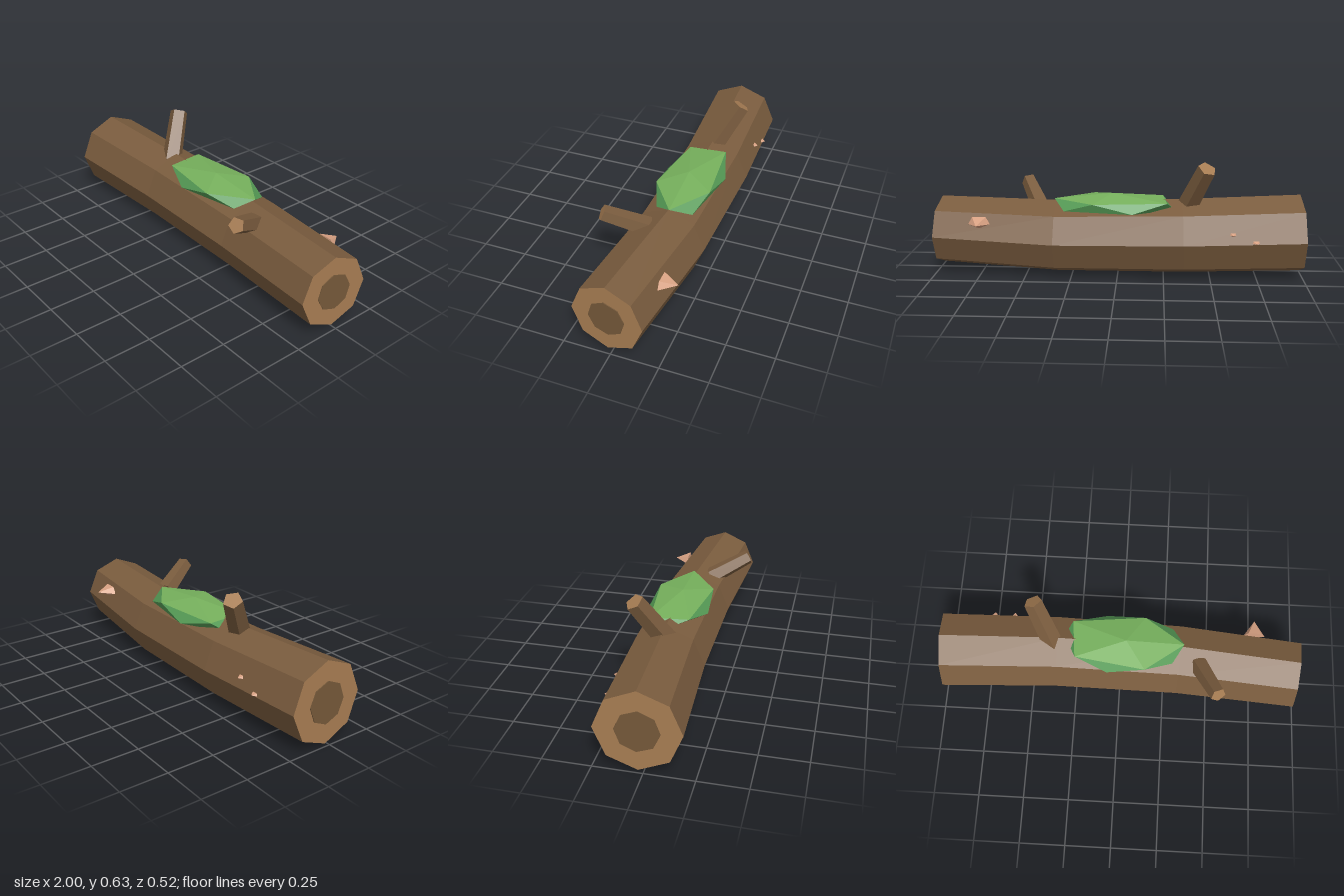
import * as THREE from 'three';

const V = (x, y, z) => new THREE.Vector3(x, y, z);
const UP = V(0, 1, 0);

function material(name, color) {
  const m = new THREE.MeshStandardMaterial({ color, flatShading: true });
  m.name = name;
  return m;
}

// Triangles given as a list of Vector3 corners
function meshFromPoints(name, pts, mat) {
  const g = new THREE.BufferGeometry().setFromPoints(pts);
  g.computeVertexNormals();
  const mesh = new THREE.Mesh(g, mat);
  mesh.name = name;
  return mesh;
}

export function createModel() {
  const bark = material('bark', 0x7a5c3e);
  const cutWood = material('cut wood', 0xa67c52);
  const heartwood = material('heartwood', 0x745839);
  const mossLight = material('light moss', 0x76b05c);
  const mossDark = material('dark moss', 0x559a55);
  const fungus = material('fungus', 0xd9a283);

  const model = new THREE.Group();
  model.name = 'fallenLog';

  // Log: octagonal rings across a gently bent centre line
  const centres = [V(-0.989, 0.228, -0.025), V(-0.35, 0.211, -0.052), V(0.33, 0.202, -0.042), V(0.982, 0.217, 0.018)];
  const radii = [0.214, 0.207, 0.201, 0.19];
  const SIDES = 8;
  const tangents = centres.map((c, i) =>
    centres[Math.min(i + 1, 3)].clone().sub(centres[Math.max(i - 1, 0)]).normalize());
  const rings = centres.map((c, i) => {
    const t = tangents[i];
    return Array.from({ length: SIDES }, (_, k) => {
      const a = (k / SIDES) * Math.PI * 2;
      const y = Math.cos(a) * radii[i], z = Math.sin(a) * radii[i];
      return V(c.x - (t.y * y + t.z * z) / t.x, c.y + y, c.z + z);
    });
  });
  const side = [];
  for (let i = 0; i < 3; i++) {
    for (let k = 0; k < SIDES; k++) {
      const n = (k + 1) % SIDES;
      const [a, b, c, d] = [rings[i][k], rings[i][n], rings[i + 1][k], rings[i + 1][n]];
      side.push(a, b, c, b, d, c);
    }
  }
  model.add(meshFromPoints('logBark', side, bark));

  // Sawn ends with a raised heartwood disc
  for (const [i, sign, name] of [[0, -1, 'right'], [3, 1, 'left']]) {
    const cap = [];
    for (let k = 0; k < SIDES; k++) {
      const p = rings[i][k], q = rings[i][(k + 1) % SIDES];
      cap.push(centres[i], ...(sign > 0 ? [p, q] : [q, p]));
    }
    model.add(meshFromPoints(name + 'CutEnd', cap, cutWood));

    const r = radii[i] * 0.515;
    const disc = new THREE.Mesh(new THREE.CylinderGeometry(r, r, 0.009, SIDES), heartwood);
    disc.name = name + 'Heartwood';
    disc.quaternion.setFromUnitVectors(UP, tangents[i].clone().multiplyScalar(sign));
    disc.position.copy(centres[i]);
    model.add(disc);
  }

  // Five-sided branch stubs with pale cut tips
  function addBranch(name, base, tip, rTip, rBase) {
    const dir = tip.clone().sub(base);
    const g = new THREE.CylinderGeometry(rTip, rBase, dir.length(), 5, 1, false, Math.PI / 2);
    const mesh = new THREE.Mesh(g, [bark, cutWood, bark]);
    mesh.name = name;
    mesh.position.copy(base).add(tip).multiplyScalar(0.5);
    mesh.quaternion.setFromUnitVectors(UP, dir.normalize());
    model.add(mesh);
  }
  addBranch('backBranch', V(-0.365, 0.35, -0.035), V(-0.47, 0.608, -0.175), 0.051, 0.06);
  addBranch('frontBranch', V(0.43, 0.345, 0.03), V(0.528, 0.452, 0.238), 0.043, 0.054);

  // Moss: flattened mound of two staggered five-point rings
  const apex = V(0.03, 0.446, -0.045), under = V(0.03, 0.335, -0.045);
  const upper = [[0.345, -0.05], [0.135, 0.105], [-0.245, 0.05], [-0.265, -0.155], [0.13, -0.196]]
    .map(([x, z]) => V(x, 0.414, z));
  const lower = [[0.285, 0.045], [-0.07, 0.115], [-0.31, -0.09], [-0.08, -0.216], [0.285, -0.155]]
    .map(([x, z]) => V(x, 0.367, z));
  const mossTop = [], mossRim = [];
  for (let k = 0; k < 5; k++) {
    const n = (k + 1) % 5;
    mossTop.push(apex, upper[n], upper[k]);
    mossRim.push(upper[k], upper[n], lower[k], upper[n], lower[n], lower[k], lower[k], lower[n], under);
  }
  model.add(meshFromPoints('mossTop', mossTop, mossLight));
  model.add(meshFromPoints('mossRim', mossRim, mossDark));

  // Shelf fungi poking out of the back
  const fungi = [
    [V(0.74, 0.305, -0.21), 0.062, 0.035, 0.085],
    [V(-0.61, 0.268, -0.228), 0.04, 0.022, 0.042],
    [V(-0.73, 0.229, -0.242), 0.046, 0.02, 0.04],
  ];
  fungi.forEach(([p, w, h, depth], i) => {
    const g = new THREE.ConeGeometry(1, 1, 5);
    g.rotateX(-Math.PI / 2).rotateZ(Math.PI).scale(w, h, depth);
    const mesh = new THREE.Mesh(g, fungus);
    mesh.name = 'shelfFungus' + (i + 1);
    mesh.position.copy(p);
    model.add(mesh);
  });

  return model;
}
